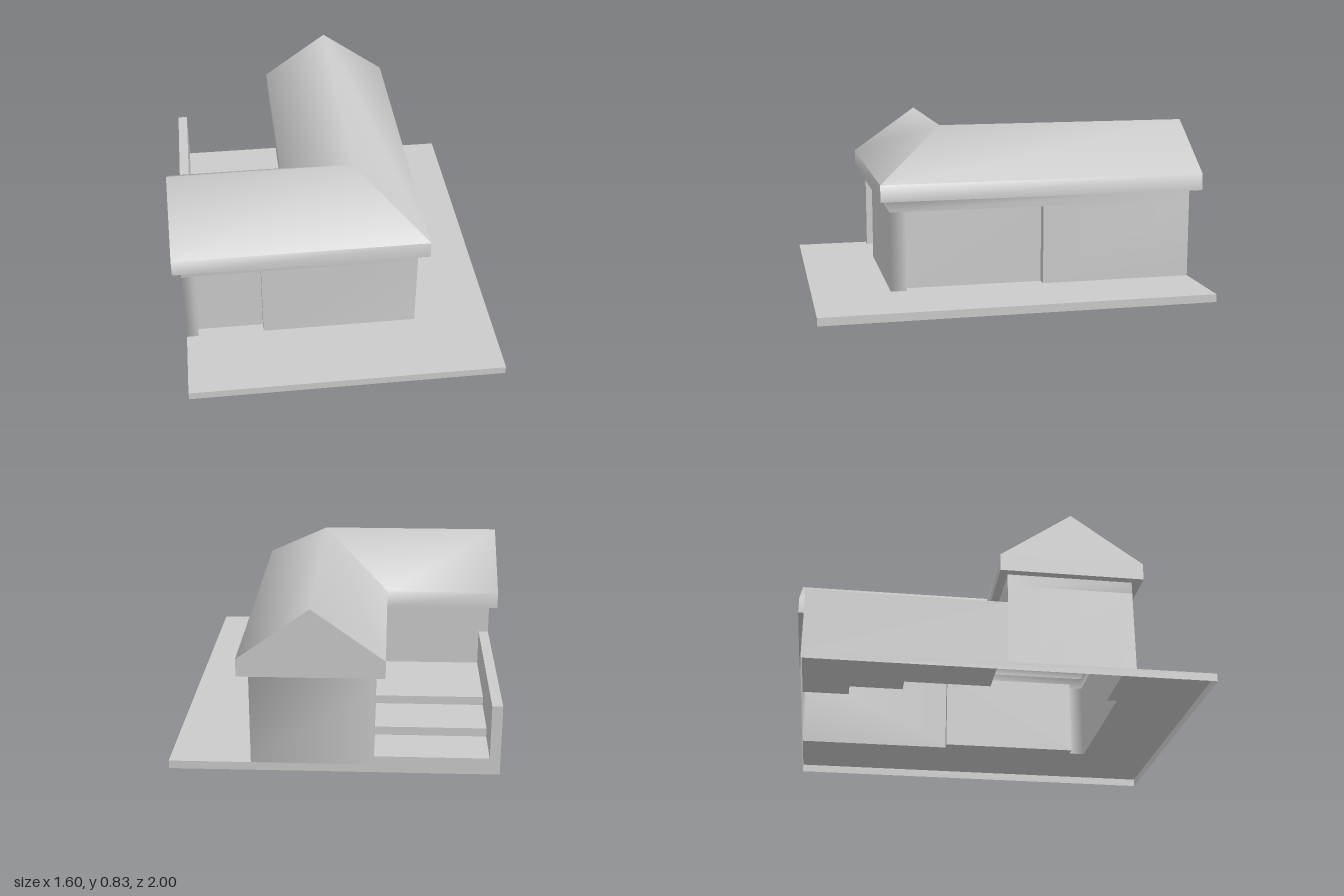
import * as THREE from 'three';
import { toCreasedNormals } from 'three/addons/utils/BufferGeometryUtils.js';

const material = new THREE.MeshStandardMaterial({ color: 0xcccccc, side: THREE.DoubleSide });

// Heights
const GROUND = 0.04, LINTEL = 0.44, WALL_TOP = 0.5, EAVE = 0.585, RIDGE = 0.83, FENCE_TOP = 0.35;

// Upright band following an [x, z] path; corners shade smoothly.
function band(path, y0, y1) {
  const position = [], index = [];
  path.forEach(([x, z], i) => {
    position.push(x, y0, z, x, y1, z);
    if (i) {
      const a = 2 * (i - 1);
      index.push(a, a + 2, a + 3, a, a + 3, a + 1);
    }
  });
  const geometry = new THREE.BufferGeometry();
  geometry.setAttribute('position', new THREE.Float32BufferAttribute(position, 3));
  geometry.setIndex(index);
  geometry.computeVertexNormals();
  return geometry;
}

// Level surface with an [x, z] outline and an optional hole.
function level(outline, y, hole) {
  const toPoints = (list) => list.map(([x, z]) => new THREE.Vector2(x, z));
  const shape = new THREE.Shape(toPoints(outline));
  if (hole) shape.holes.push(new THREE.Path(toPoints(hole)));
  return new THREE.ShapeGeometry(shape).rotateX(Math.PI / 2).translate(0, y, 0);
}

const rect = (x0, z0, x1, z1) => [[x0, z0], [x0, z1], [x1, z1], [x1, z0]];
const closed = (path) => [...path, path[0]];
const faceted = (geometry) => toCreasedNormals(geometry, 0.5);

// Flat convex polygons joined into one surface, smooth below the crease angle.
function polygons(faces, crease) {
  const position = [];
  for (const face of faces) {
    for (let i = 1; i < face.length - 1; i++) position.push(...face[0], ...face[i], ...face[i + 1]);
  }
  const geometry = new THREE.BufferGeometry();
  geometry.setAttribute('position', new THREE.Float32BufferAttribute(position, 3));
  return toCreasedNormals(geometry, crease);
}

function buildRoof() {
  const eaves = [[-0.8, -0.04], [-0.8, 0.66], [0.46, 0.66], [0.46, -1], [-0.22, -1], [-0.22, -0.04]];
  const [a, f, e, d, c, b] = eaves.map(([x, z]) => [x, EAVE, z]);
  const r1 = [-0.8, RIDGE, 0.31], r2 = [0.12, RIDGE, 0.31], r3 = [0.12, RIDGE, -1];
  const faces = [
    [f, e, r2, r1], [e, d, r3, r2], [b, a, r1, r2], [c, b, r2, r3], // slopes
    [d, c, r3], [a, f, r1], // gables
  ];
  // Fascia below the eaves
  eaves.forEach(([x, z], i) => {
    const [u, w] = eaves[(i + 1) % eaves.length];
    faces.push([[x, WALL_TOP, z], [u, WALL_TOP, w], [u, EAVE, w], [x, EAVE, z]]);
  });
  return { eaves, geometry: polygons(faces, 1.4) };
}

export function createModel() {
  const model = new THREE.Group();
  function group(name, ...geometries) {
    const part = new THREE.Group();
    part.name = name;
    geometries.forEach((geometry, i) => {
      const mesh = new THREE.Mesh(geometry, material);
      mesh.name = `${name}${i + 1}`;
      part.add(mesh);
    });
    model.add(part);
  }

  // Recessed openings: front door and long side window
  const door = [[-0.7, 0.61], [-0.7, 0.56], [-0.37, 0.56], [-0.37, 0.61]];
  const sideOpening = [[0.41, 0.53], [0.36, 0.53], [0.36, -0.17], [0.41, -0.17]];
  const outerWall = [[-0.76, 0], [-0.76, 0.61], [0.41, 0.61], [0.41, -0.95], [-0.17, -0.95]];

  // Paved ground slab, open underneath
  group('ground',
    level([outerWall[1], ...door, outerWall[2], ...sideOpening, outerWall[3],
      [0.8, -0.95], [0.8, 1], [-0.76, 1]], GROUND),
    faceted(band(closed(rect(-0.76, -0.95, 0.8, 1)), 0, GROUND)));

  // Outer walls: lower pieces between the openings, then a band above them
  group('outerWalls',
    band([outerWall[0], outerWall[1], door[0]], GROUND, LINTEL),
    band([door[3], outerWall[2], sideOpening[0]], GROUND, LINTEL),
    band([sideOpening[3], outerWall[3], outerWall[4]], GROUND, LINTEL),
    band(outerWall, LINTEL, WALL_TOP));
  group('frontDoorRecess', faceted(band(door, GROUND, LINTEL)), level(door, LINTEL));
  group('sideWindowRecess', faceted(band(sideOpening, GROUND, LINTEL)), level(sideOpening, LINTEL));

  // Courtyard terraces climbing toward the front wing, with the walls beside them
  const stepEdges = [-0.95, -0.72, -0.45, 0];
  const rise = 0.043;
  for (let i = 0; i < 3; i++) {
    const z0 = stepEdges[i], z1 = stepEdges[i + 1], y = GROUND + rise * (i + 1);
    group(`courtyardStep${i + 1}`,
      level(rect(-0.71, z0, -0.17, z1), y),
      band([[-0.17, z0], [-0.71, z0]], y - rise, y));
    group(`courtyardSideWall${i + 1}`, band([[-0.17, z0], [-0.17, z1]], y, WALL_TOP));
  }
  group('courtyardEndWall', band([[-0.17, 0], [-0.76, 0]], GROUND + 3 * rise, WALL_TOP));

  // Low wall closing the courtyard
  const fence = rect(-0.76, -0.95, -0.71, 0);
  group('courtyardFence', faceted(band(closed(fence), GROUND, FENCE_TOP)), level(fence, FENCE_TOP));

  // L-shaped gabled roof with overhanging soffit
  const roof = buildRoof();
  group('roof', roof.geometry);
  group('soffit', level(roof.eaves, WALL_TOP, [...outerWall, [-0.17, 0]]));

  return model;
}
